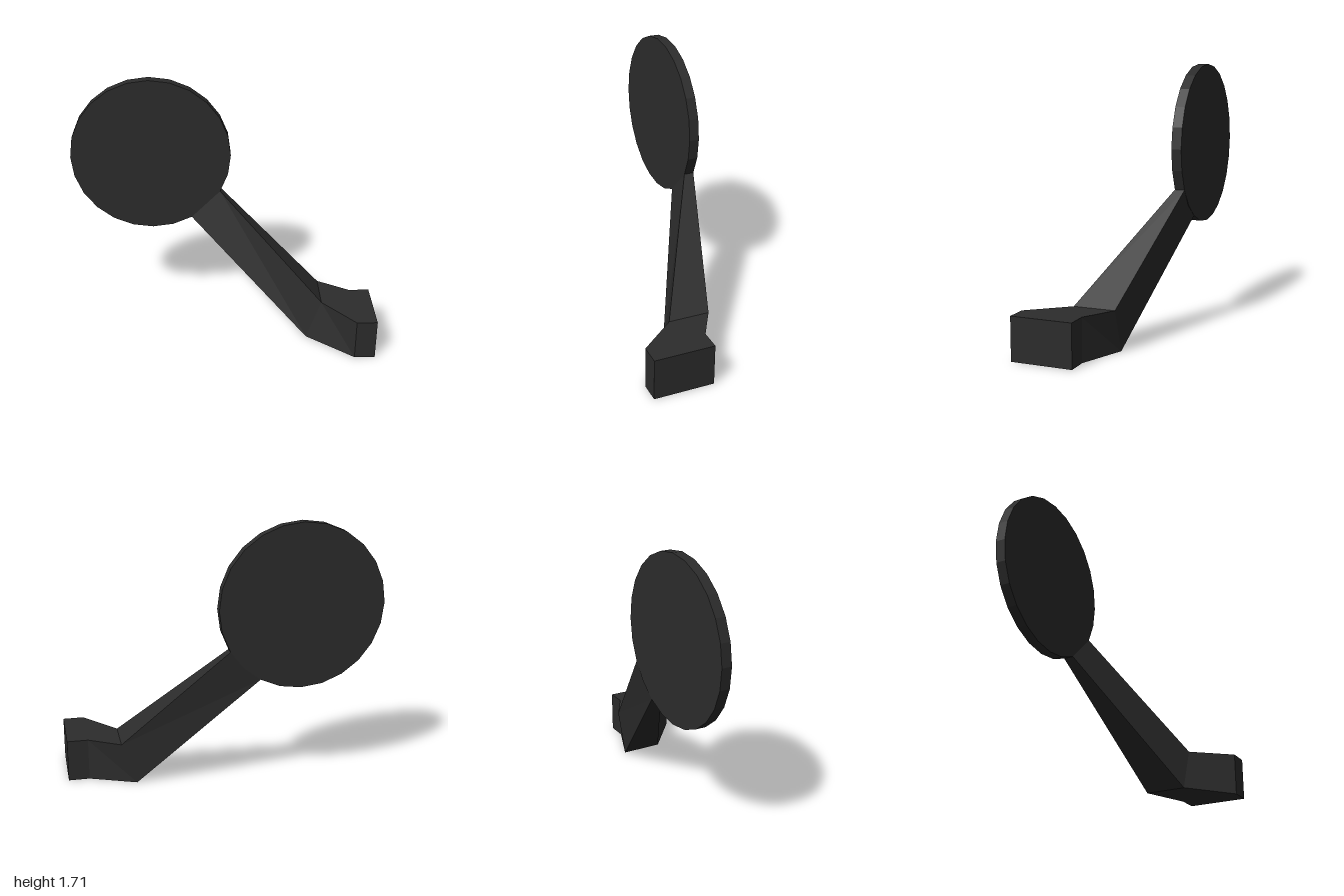
import * as THREE from 'three';

// Skins a run of four-cornered sections (running toward -x) with closed ends
function loftSections(sections) {
  const positions = [];
  const quad = (a, b, c, d) => positions.push(...a, ...b, ...c, ...a, ...c, ...d);
  for (let i = 0; i < sections.length - 1; i++) {
    const s = sections[i], t = sections[i + 1];
    for (let j = 0; j < 4; j++) {
      const k = (j + 1) % 4;
      quad(s[j], s[k], t[k], t[j]);
    }
  }
  const first = sections[0], last = sections[sections.length - 1];
  quad(first[0], first[3], first[2], first[1]);
  quad(...last);
  const geometry = new THREE.BufferGeometry();
  geometry.setAttribute('position', new THREE.Float32BufferAttribute(positions, 3));
  geometry.computeVertexNormals();
  return geometry;
}

// Corners in order: bottom front, top front, top back, bottom back
const section = (xTop, yTop, xBottom, yBottom, front, back) => [
  [xBottom, yBottom, front], [xTop, yTop, front],
  [xTop, yTop, back], [xBottom, yBottom, back],
];

export function createModel() {
  const model = new THREE.Group();
  const charcoal = new THREE.MeshStandardMaterial({ color: 0x2c2c2c, flatShading: true });
  charcoal.name = 'charcoal';

  // Upright round plate
  const radius = 0.53, cx = -0.47, cy = 1.185, front = -0.29, back = -0.355;
  const discGeometry = new THREE.CylinderGeometry(radius, radius, front - back, 24);
  discGeometry.rotateX(Math.PI / 2);
  const disc = new THREE.Mesh(discGeometry, charcoal);
  disc.name = 'roundPlate';
  disc.position.set(cx, cy, (front + back) / 2);
  model.add(disc);

  // Bent arm: mounting block, elbow, then a taper up to the plate rim
  const arm = new THREE.Mesh(loftSections([
    section(1, 0.275, 1, 0, 0.355, -0.04),
    section(0.865, 0.275, 0.865, 0, 0.355, -0.04),
    section(0.66, 0.275, 0.565, 0, 0.11, -0.16),
    section(-0.011, 0.92, -0.205, 0.726, front, back),
  ]), charcoal);
  arm.name = 'mountingArm';
  model.add(arm);

  return model;
}
